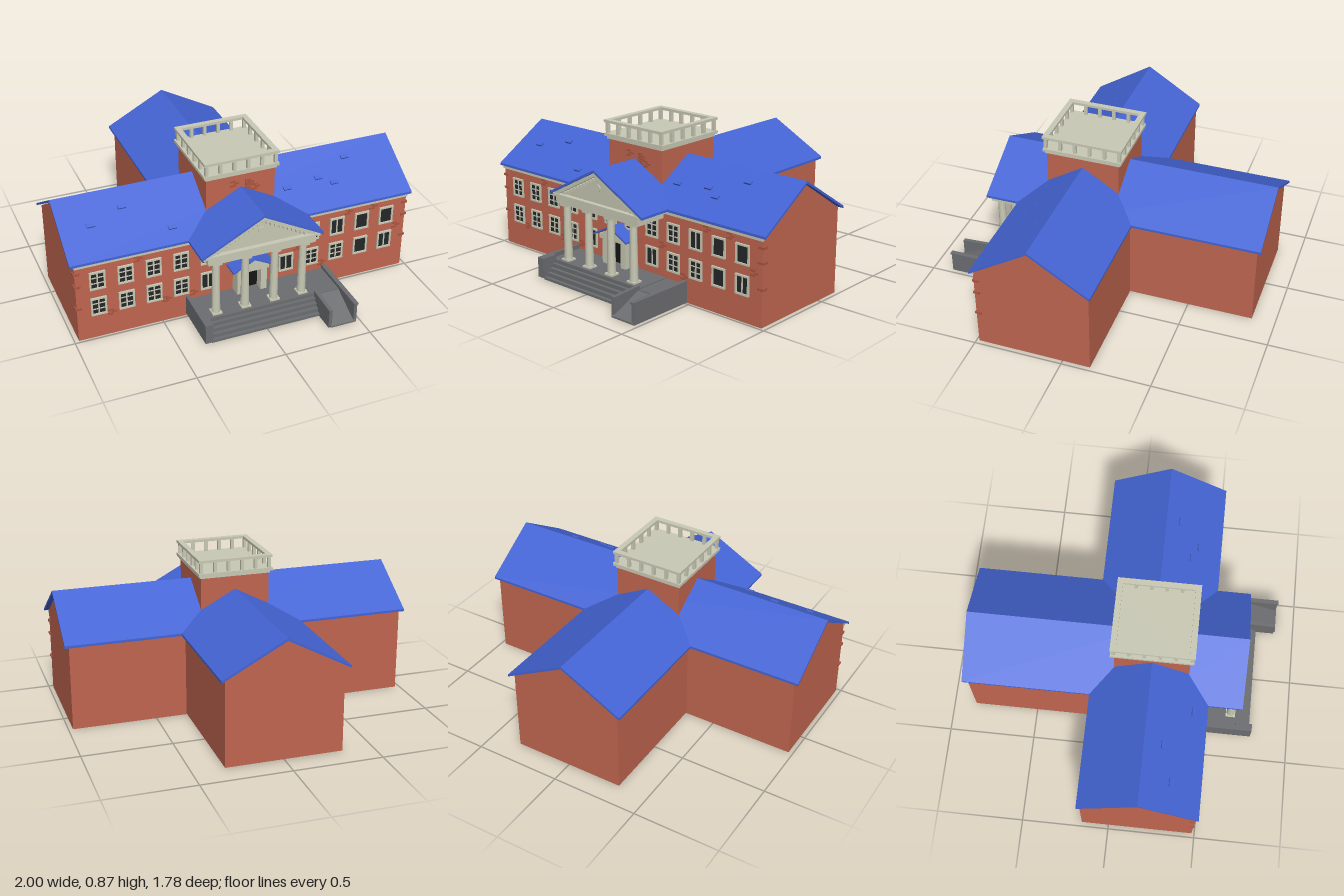
import * as THREE from 'three';

const mat = (color) => new THREE.MeshStandardMaterial({ color, side: THREE.DoubleSide, flatShading: true });

export function createModel() {
  const model = new THREE.Group();
  const brick = mat(0xc0654f), darkBrick = mat(0xa9543f), blue = mat(0x4464d4), cream = mat(0xc9c9b5);
  const stone = mat(0x6c6d70), glass = mat(0x242628), doorMat = mat(0x151515);

  const add = (name, geometry, material, parent = model) => {
    const m = new THREE.Mesh(geometry, material);
    m.name = name;
    parent.add(m);
    return m;
  };
  const group = (name) => {
    const g = new THREE.Group();
    g.name = name;
    model.add(g);
    return g;
  };
  // Box given by its limits on each axis
  const box = (name, x0, x1, y0, y1, z0, z1, material, parent) =>
    add(name, new THREE.BoxGeometry(x1 - x0, y1 - y0, z1 - z0)
      .translate((x0 + x1) / 2, (y0 + y1) / 2, (z0 + z1) / 2), material, parent);
  // Profile of [across, up] points extruded along z, from z0 to z1
  const prism = (points, z0, z1) => new THREE.ExtrudeGeometry(
    new THREE.Shape(points.map(([x, y]) => new THREE.Vector2(x, y))),
    { depth: z1 - z0, bevelEnabled: false }).translate(0, 0, z0);
  const house = (w, eave, ridge) => [[-w, 0], [w, 0], [w, eave], [0, ridge], [-w, eave]];
  const chevron = (w, eave, ridge, t) =>
    [[-w, eave], [0, ridge], [w, eave], [w, eave - t], [0, ridge - t], [-w, eave - t]];

  // Main block running along x, rear wing running along z
  const mid = 0.165;
  add('mainWalls', prism(house(0.32, 0.485, 0.69), -0.975, 0.975).rotateY(Math.PI / 2).translate(0, 0, mid), brick);
  add('mainRoof', prism(chevron(0.335, 0.495, 0.705, 0.014), -1, 1).rotateY(Math.PI / 2).translate(0, 0, mid), blue);
  add('wingWalls', prism(house(0.325, 0.48, 0.665), -0.87, 0).translate(0, 0.005, 0), brick);
  add('wingRoof', prism(chevron(0.35, 0.495, 0.682, 0.014), -0.893, 0.1), blue);
  box('eaveCornice', -0.978, 0.978, 0.465, 0.484, 0.48, 0.496, cream);

  // Tower with balustraded deck
  box('tower', -0.2, 0.2, 0.4, 0.765, -0.045, 0.375, brick);
  const deck = group('towerDeck');
  box('deckCornice', -0.207, 0.207, 0.76, 0.775, -0.053, 0.383, cream, deck);
  box('deckSlab', -0.218, 0.218, 0.775, 0.792, -0.065, 0.393, cream, deck);
  for (const s of [-1, 1]) {
    const x = s * 0.2, z = mid + s * 0.215;
    box('sideRail', x - 0.016, x + 0.016, 0.853, 0.868, -0.065, 0.395, cream, deck);
    box('endRail', -0.216, 0.216, 0.853, 0.868, z - 0.016, z + 0.016, cream, deck);
    for (let i = 0; i < 6; i++) {
      const bx = -0.2 + i * 0.08, bz = mid - 0.215 + i * 0.086;
      box('baluster', bx - 0.009, bx + 0.009, 0.79, 0.855, z - 0.009, z + 0.009, cream, deck);
      if (i > 0 && i < 5) box('baluster', x - 0.009, x + 0.009, 0.79, 0.855, bz - 0.009, bz + 0.009, cream, deck);
    }
  }

  // Portico: roof, pediment, entablature and columns
  const portico = group('portico');
  add('porticoRoof', prism(chevron(0.35, 0.495, 0.682, 0.014), 0.2, 0.692), blue, portico);
  add('pediment', prism([[-0.31, 0.485], [0.31, 0.485], [0, 0.65]], 0.4, 0.66), cream, portico);
  add('rakingCornice', prism(chevron(0.335, 0.488, 0.667, 0.022), 0.5, 0.682), cream, portico);
  box('pedimentLedge', -0.325, 0.325, 0.478, 0.49, 0.49, 0.687, cream, portico);
  box('entablature', -0.31, 0.31, 0.435, 0.48, 0.48, 0.68, cream, portico);
  add('medallion', new THREE.CylinderGeometry(0.022, 0.022, 0.008, 16).rotateX(Math.PI / 2)
    .translate(0, 0.575, 0.662), cream, portico);
  for (let i = -11; i <= 11; i++) {
    const x = i * 0.025, y = 0.635 - Math.abs(x) * 0.534;
    box('rakeDentil', x - 0.006, x + 0.006, y - 0.009, y + 0.005, 0.655, 0.675, cream, portico);
  }
  for (const x of [-0.255, -0.087, 0.083, 0.25]) {
    add('column', new THREE.CylinderGeometry(0.02, 0.024, 0.32, 16).translate(x, 0.27, 0.65), cream, portico);
    box('columnBase', x - 0.028, x + 0.028, 0.1, 0.115, 0.622, 0.678, cream, portico);
    box('columnCapital', x - 0.027, x + 0.027, 0.422, 0.436, 0.623, 0.677, cream, portico);
  }

  // Entrance porch and door
  const porch = group('entrancePorch');
  for (const x of [-0.07, 0.07]) box('porchPier', x - 0.018, x + 0.018, 0.1, 0.265, 0.48, 0.55, cream, porch);
  box('porchLintel', -0.09, 0.09, 0.255, 0.28, 0.48, 0.57, cream, porch);
  add('porchGable', prism([[-0.09, 0.275], [0.09, 0.275], [0, 0.325]], 0.48, 0.575), cream, porch);
  add('porchRoof', prism(chevron(0.125, 0.277, 0.342, 0.01), 0.48, 0.583), blue, porch);
  box('door', -0.053, 0.053, 0.1, 0.256, 0.48, 0.497, doorMat, porch);
  box('doorMullion', -0.002, 0.002, 0.1, 0.256, 0.49, 0.5, glass, porch);

  // Windows: 0 = plain, 1 = one mullion, 2 = mullion with two cross bars
  const windowUnit = (x, y, kind) => {
    const g = group('window');
    const w = 0.039, h = 0.05, z = 0.485;
    box('pane', x - w, x + w, y - h, y + h, z - 0.01, z + 0.003, glass, g);
    for (const s of [-1, 1]) {
      box('jamb', x + s * w - 0.005, x + s * w + 0.005, y - h, y + h, z - 0.01, z + 0.009, cream, g);
      box('sill', x - w - 0.005, x + w + 0.005, y + s * h - 0.005, y + s * h + 0.005, z - 0.01, z + 0.011, cream, g);
    }
    if (kind > 0) box('mullion', x - 0.004, x + 0.004, y - h, y + h, z, z + 0.006, cream, g);
    if (kind > 1) for (const s of [-1, 1]) {
      box('crossBar', x - w, x + w, y + s * 0.017 - 0.003, y + s * 0.017 + 0.003, z, z + 0.006, cream, g);
    }
  };
  const upper = [2, 2, 2, 2, 1, 0, 0, 2, 2, 1, 0, 0];
  const lower = [2, 2, 2, 2, 1, -1, -1, 1, 2, 2, 0, 1];
  for (let i = 0; i < 12; i++) {
    const x = -0.855 + i * 0.155;
    windowUnit(x, 0.367, upper[i]);
    if (lower[i] >= 0) windowUnit(x, 0.203, lower[i]);
  }

  // Raised brick patches on the front, corners and tower
  const bricks = group('raisedBricks');
  let seed = 7;
  const rand = () => (seed = (seed * 16807) % 2147483647) / 2147483647;
  const patch = (x, y, z) => {
    for (let i = 0; i < 3; i++) {
      const bx = x + (i % 2) * 0.018, by = y + i * 0.013;
      box('brick', bx - 0.016, bx + 0.016, by - 0.005, by + 0.005, z - 0.004, z + 0.003, darkBrick, bricks);
    }
  };
  for (let i = 0; i < 12; i++) {
    const x = -0.78 + i * 0.155;
    if (Math.abs(x) > 0.15) patch(x - 0.01, [0.13, 0.27, 0.43][Math.floor(rand() * 3)], 0.485);
  }
  for (let i = 0; i < 5; i++) patch(-0.15 + rand() * 0.28, 0.63 + rand() * 0.09, 0.375);
  for (const s of [-1, 1]) for (const y of [0.2, 0.34, 0.42]) {
    box('cornerBrick', s * 0.965 - 0.018, s * 0.965 + 0.018, y, y + 0.012, 0.455, 0.49, darkBrick, bricks);
  }

  // Loose slates lying on the front roof slope
  const slates = [[-0.83, 0.33], [-0.64, 0.27], [-0.41, 0.42], [0.29, 0.35], [0.49, 0.33], [0.57, 0.37], [0.69, 0.25]];
  for (const [x, z] of slates) {
    const slate = add('slate', new THREE.BoxGeometry(0.045, 0.012, 0.024), blue);
    slate.position.set(x, 0.708 - (z - mid) * 0.627, z);
    slate.rotation.x = 0.5;
  }

  // Terrace with front steps, side wall and ramp
  const terrace = group('terrace');
  box('terraceFloor', -0.36, 0.33, 0.01, 0.105, 0.48, 0.695, stone, terrace);
  for (let i = 0; i < 4; i++) {
    box('step', -0.325, 0.315, 0.005, 0.085 - i * 0.022, 0.69, 0.712 + i * 0.02, stone, terrace);
  }
  box('stepWall', -0.365, -0.32, 0.015, 0.13, 0.685, 0.78, stone, terrace);
  box('terraceWall', -0.365, -0.345, 0.015, 0.13, 0.485, 0.69, stone, terrace);
  box('rampLanding', 0.32, 0.47, 0.005, 0.1, 0.48, 0.7, stone, terrace);
  add('ramp', prism([[-0.69, 0.003], [-0.89, 0.003], [-0.89, 0.012], [-0.69, 0.1]], 0.32, 0.47)
    .rotateY(Math.PI / 2), stone, terrace);
  add('rampInnerWall', prism([[-0.69, 0], [-0.88, 0], [-0.88, 0.11], [-0.69, 0.12]], 0.31, 0.33)
    .rotateY(Math.PI / 2), stone, terrace);
  box('rampOuterWall', 0.458, 0.476, 0, 0.118, 0.485, 0.885, stone, terrace);
  box('rampOuterCap', 0.454, 0.48, 0.115, 0.125, 0.485, 0.89, stone, terrace);
  return model;
}
